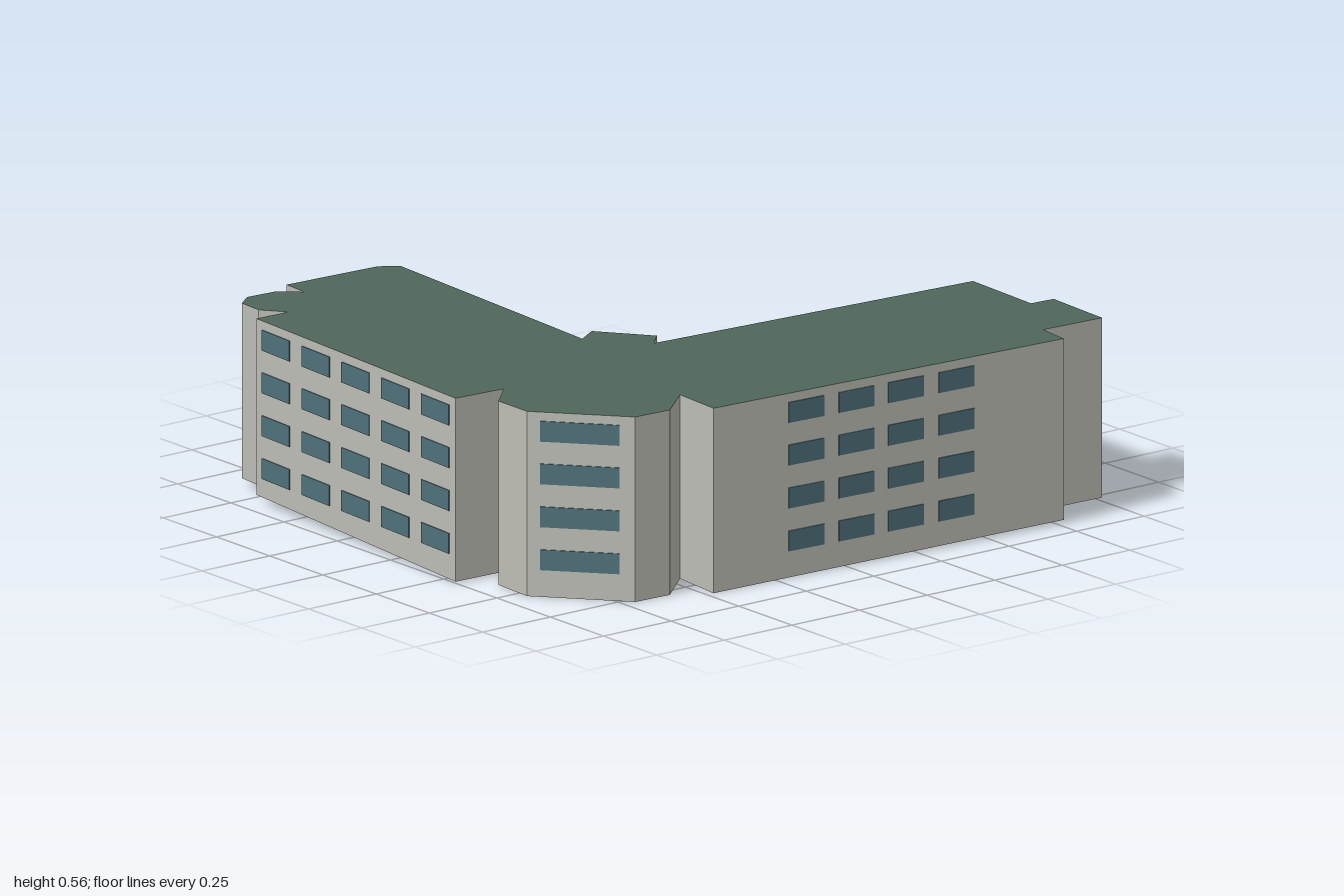
import * as THREE from 'three';

const HEIGHT = 0.56;

// Footprint corners as [x, z], clockwise seen from above.
const outline = [
  [-0.66, -0.92], [-0.335, -0.905], [-0.28, -0.865], [-0.33, 0.05],
  [-0.26, 0.005], [-0.14, 0.16], [-0.195, 0.215], [0.93, 0.285],
  [0.92, 0.57], [1.0, 0.575], [0.99, 0.815], [0.78, 0.805],
  [0.77, 0.915], [-0.475, 0.85], [-0.465, 0.68], [-0.585, 0.785],
  [-0.71, 0.78], [-0.92, 0.54], [-0.92, 0.405], [-0.83, 0.315],
  [-1.0, 0.305], [-0.945, -0.70], [-0.83, -0.695], [-0.885, -0.765],
  [-0.88, -0.85], [-0.83, -0.89], [-0.73, -0.885], [-0.665, -0.83],
];

// Window columns: index of the wall's first corner, positions along it, window width.
const even = (n) => Array.from({ length: n }, (_, i) => (i + 0.5) / n);
const windowWalls = [
  { name: 'northEndWindows', corner: 0, columns: [0.5], width: 0.23 },
  { name: 'innerWingWindows', corner: 2, columns: [0.112, 0.331, 0.549, 0.768], width: 0.136 },
  { name: 'innerRearWindows', corner: 6, columns: even(6), width: 0.13 },
  { name: 'frontWindows', corner: 12, columns: [0.307, 0.452, 0.592, 0.735], width: 0.126 },
  { name: 'chamferWindows', corner: 16, columns: [0.51], width: 0.235 },
  { name: 'outerWingWindows', corner: 20, columns: even(5), width: 0.14 },
];
const rows = [0.113, 0.243, 0.373, 0.502];

// The base follows gently sloping ground.
const groundY = (x, z) => Math.max(0, 0.022 + 0.011 * x - 0.021 * z);

function material(name, color) {
  const m = new THREE.MeshStandardMaterial({ color });
  m.name = name;
  return m;
}

function buildBody(wall, roof) {
  const shape = new THREE.Shape(outline.map(([x, z]) => new THREE.Vector2(x, -z)));
  const geo = new THREE.ExtrudeGeometry(shape, { depth: HEIGHT, bevelEnabled: false });
  geo.rotateX(-Math.PI / 2);
  const p = geo.attributes.position;
  for (let i = 0; i < p.count; i++) {
    if (p.getY(i) < HEIGHT / 2) p.setY(i, groundY(p.getX(i), p.getZ(i)));
  }
  geo.computeVertexNormals();
  // Caps come as underside then roof; only the roof half is green.
  const half = geo.groups[0].count / 2;
  geo.clearGroups();
  geo.addGroup(0, half, 0);
  geo.addGroup(half, half, 1);
  geo.addGroup(half * 2, p.count - half * 2, 0);
  const body = new THREE.Mesh(geo, [wall, roof]);
  body.name = 'buildingBody';
  return body;
}

function buildWindows({ name, corner, columns, width }, glass) {
  const group = new THREE.Group();
  group.name = name;
  const [ax, az] = outline[corner];
  const [bx, bz] = outline[corner + 1];
  const geo = new THREE.BoxGeometry(width, 0.062, 0.006);
  for (const t of columns) {
    for (const y of rows) {
      const pane = new THREE.Mesh(geo, glass);
      pane.name = 'window';
      pane.position.set(ax + (bx - ax) * t, y, az + (bz - az) * t);
      pane.rotation.y = Math.atan2(bz - az, ax - bx); // face outward
      group.add(pane);
    }
  }
  return group;
}

export function createModel() {
  const wall = material('wallGrey', 0xbdbdb5);
  const roof = material('roofGreen', 0x50675a);
  const glass = material('windowBlue', 0x4f7079);

  const model = new THREE.Group();
  model.name = 'apartmentBlock';
  model.add(buildBody(wall, roof));
  for (const spec of windowWalls) model.add(buildWindows(spec, glass));
  return model;
}
